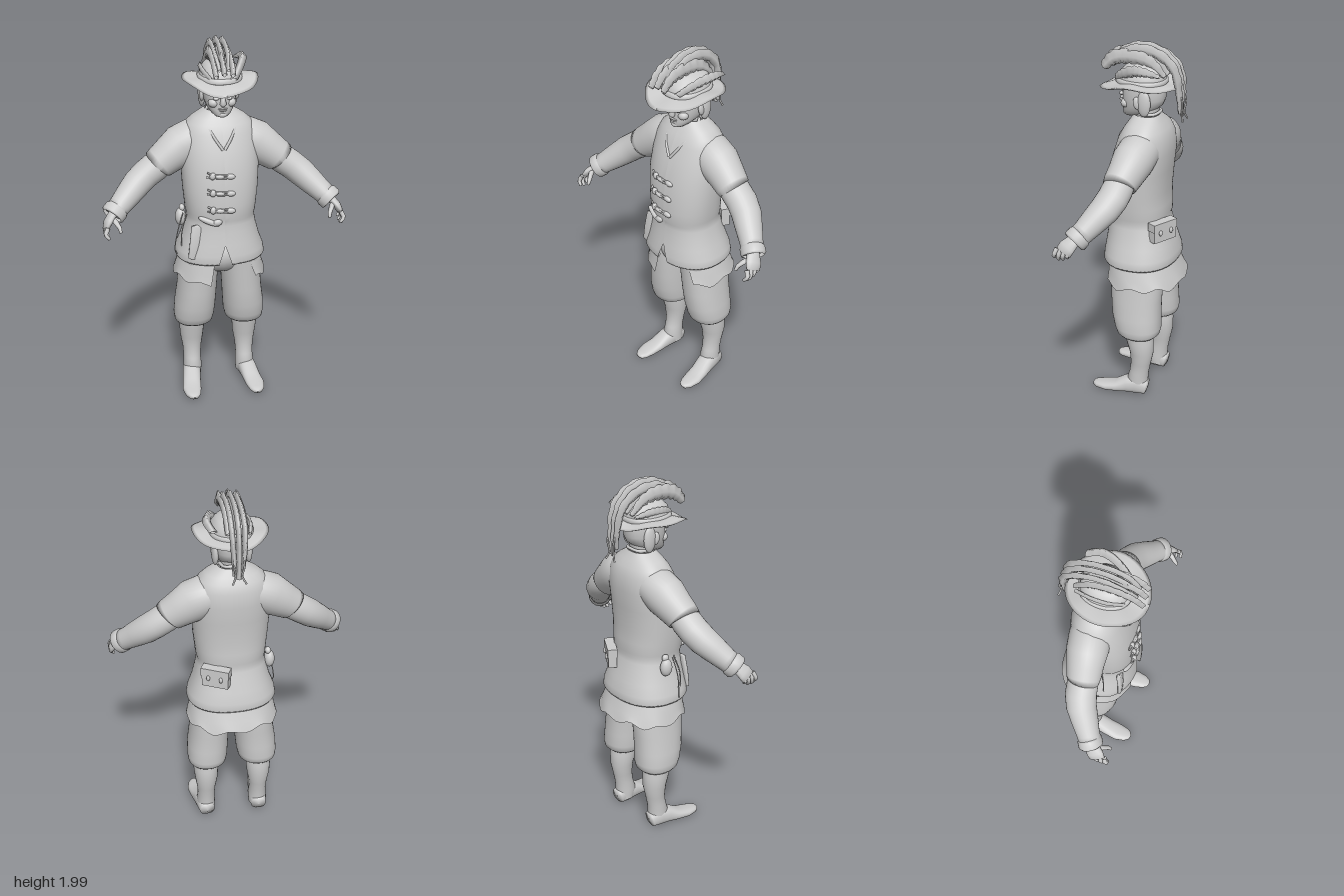
import * as THREE from 'three';

const grey = new THREE.MeshStandardMaterial({ color: 0xcccccc, side: THREE.DoubleSide });
grey.name = 'plain grey';
const V = (x, y, z) => new THREE.Vector3(x, y, z);

function add(parent, name, geometry, pos = [0, 0, 0], rot = [0, 0, 0], scale = [1, 1, 1]) {
  const m = new THREE.Mesh(geometry, grey);
  m.name = name;
  m.position.set(...pos);
  m.rotation.set(...rot);
  m.scale.set(...scale);
  parent.add(m);
  return m;
}

// Skin over rows of points
function skin(rows, closed) {
  const n = rows[0].length, index = [];
  for (let j = 0; j < rows.length - 1; j++) {
    for (let i = 0; i < (closed ? n : n - 1); i++) {
      const a = j * n + i, b = j * n + (i + 1) % n;
      index.push(a, b, b + n, a, b + n, a + n);
    }
  }
  const g = new THREE.BufferGeometry().setFromPoints(rows.flat());
  g.setIndex(index);
  g.computeVertexNormals();
  return g;
}

const pw = (v, p) => Math.sign(v) * Math.abs(v) ** (2 / p);

// Level cross-sections [x, y, z, rx, rz, gapLeft, gapRight]; gaps open the front
function stack(rings, { n = 40, p = 2.2, open = false, wave = null } = {}) {
  return skin(rings.map(([x, y, z, rx, rz, g0 = 0, g1 = g0], j) => {
    const row = [];
    for (let i = 0; i < (open ? n + 1 : n); i++) {
      const a = g0 + (Math.PI * 2 - g0 - g1) * i / n;
      row.push(V(x + rx * pw(Math.sin(a), p), y + (wave ? wave(a, j) : 0), z + rz * pw(Math.cos(a), p)));
    }
    return row;
  }), !open);
}

// Cross-sections [x, y, z, ra, rb] set square to the path they follow
function limb(rings, n = 24, p = 2) {
  const c = rings.map(r => V(r[0], r[1], r[2]));
  return skin(rings.map(([, , , ra, rb], j) => {
    const t = c[Math.min(j + 1, c.length - 1)].clone().sub(c[Math.max(j - 1, 0)]).normalize();
    const b = Math.abs(t.z) > 0.8 ? V(0, 1, 0) : V(0, 0, 1);
    b.addScaledVector(t, -b.dot(t)).normalize();
    const side = t.clone().cross(b);
    return Array.from({ length: n }, (_, i) => {
      const a = Math.PI * 2 * i / n;
      return c[j].clone().addScaledVector(side, ra * pw(Math.sin(a), p)).addScaledVector(b, rb * pw(Math.cos(a), p));
    });
  }), true);
}

function tube(points, r, seg = 20, closed = false) {
  return new THREE.TubeGeometry(new THREE.CatmullRomCurve3(points.map(q => V(...q)), closed), seg, r, 6, closed);
}

// Curved plume: a ridged blade with ragged edges
function plume(points, width, ridge = 0.014) {
  const curve = new THREE.CatmullRomCurve3(points.map(q => V(...q))), rows = [], N = 26;
  for (let i = 0; i <= N; i++) {
    const t = i / N, c = curve.getPoint(t);
    const across = curve.getTangent(t).cross(V(1, 0, 0)).normalize();
    const w = width * Math.sin(Math.PI * (0.12 + 0.84 * t)) ** 0.6 * (i % 3 ? 1 : 0.82);
    const offset = (s, x) => c.clone().addScaledVector(across, s * w).add(V(x, 0, 0));
    rows.push([offset(-1, 0), offset(0, ridge), offset(1, 0), offset(0, -ridge)]);
  }
  return skin(rows, true);
}

const ball = new THREE.SphereGeometry(1, 20, 14);

function buildSide(side) {
  // Legs and feet
  add(side, 'breeches', stack([
    [.15, .395, -.03, .06, .07], [.145, .38, -.03, .092, .1], [.142, .395, -.028, .105, .117],
    [.14, .43, -.025, .111, .128], [.135, .5, -.015, .112, .135], [.125, .6, -.01, .108, .14],
    [.116, .72, -.01, .107, .148], [.11, .85, 0, .1, .15]]));
  add(side, 'lowerLeg', stack([
    [.15, .03, -.03, .048, .052], [.15, .09, -.025, .052, .06], [.15, .14, -.035, .048, .054],
    [.15, .2, -.045, .052, .056], [.15, .27, -.05, .064, .066], [.15, .34, -.04, .07, .076],
    [.15, .42, -.03, .068, .075]], { n: 24, p: 2 }));
  add(side, 'foot', limb([
    [.15, .045, -.086, .005, .005], [.15, .046, -.08, .042, .042], [.155, .058, -.02, .051, .056],
    [.163, .05, .03, .05, .047], [.172, .032, .09, .05, .03], [.18, .025, .15, .051, .023],
    [.18, .021, .2, .04, .018], [.178, .02, .225, .024, .014], [.178, .02, .233, .002, .002]], 24, 2.4));
  // Sleeve, arm and cuff
  add(side, 'shortSleeve', limb([
    [.06, 1.47, -.03, .08, .09], [.13, 1.45, -.028, .106, .108], [.2, 1.415, -.02, .113, .107],
    [.265, 1.37, -.01, .098, .095], [.315, 1.335, 0, .088, .088], [.328, 1.325, 0, .084, .084],
    [.32, 1.33, 0, .07, .07]], 32));
  add(side, 'longSleeve', limb([
    [.28, 1.36, 0, .072, .074], [.34, 1.315, .003, .078, .08], [.39, 1.28, .01, .076, .081],
    [.44, 1.24, .03, .075, .078], [.49, 1.195, .065, .068, .07], [.54, 1.15, .1, .059, .06],
    [.572, 1.122, .124, .057, .058], [.582, 1.114, .13, .05, .05], [.565, 1.13, .12, .035, .035]], 28));
  add(side, 'cuffFold', limb([[.552, 1.14, .108, .055, .055], [.56, 1.133, .115, .065, .064],
    [.583, 1.113, .13, .065, .064], [.588, 1.108, .134, .054, .054]], 24));
  // Hand
  add(side, 'palm', limb([[.555, 1.14, .11, .024, .03], [.585, 1.115, .135, .022, .036],
    [.61, 1.087, .16, .021, .046], [.622, 1.062, .175, .016, .045], [.625, 1.052, .18, .002, .004]], 16));
  for (let i = 0; i < 4; i++) {
    const z = .142 + i * .024, drop = [.016, .004, 0, .008][i];
    add(side, 'finger', limb([[.615, 1.075, z, .012, .012], [.629, 1.048, z + .008, .012, .012],
      [.626, 1.028 + drop, z + .014, .01, .01], [.612, 1.012 + drop, z + .017, .008, .008],
      [.608, 1.009 + drop, z + .017, .001, .001]], 10));
  }
  add(side, 'thumb', limb([[.59, 1.105, .155, .014, .014], [.57, 1.09, .19, .014, .014],
    [.556, 1.07, .215, .011, .011], [.552, 1.05, .228, .008, .008], [.552, 1.047, .229, .001, .001]], 10));
  // Face details that come in pairs
  add(side, 'eye', ball, [.034, 1.698, .103], [0, 0, 0], [.015, .009, .012]);
  add(side, 'brow', ball, [.035, 1.717, .107], [0, .3, .1], [.03, .009, .013]);
  add(side, 'cheek', ball, [.045, 1.67, .082], [0, .4, 0], [.028, .024, .026]);
  add(side, 'ear', ball, [.091, 1.69, .0], [.2, .25, 0], [.012, .034, .021]);
  add(side, 'sideHair', ball, [.086, 1.69, -.035], [0, 0, 0], [.019, .07, .036]);
}

export function createModel() {
  const model = new THREE.Group();
  model.name = 'hatted figure';
  const left = new THREE.Group(), right = new THREE.Group();
  left.name = 'leftSide';
  right.name = 'rightSide';
  buildSide(left);
  buildSide(right);
  right.scale.x = -1;
  model.add(left, right);

  // Coat with a split front hem, and a ragged underskirt
  add(model, 'coat', stack([
    [0, .82, 0, .215, .178, .12], [0, .8, 0, .236, .194, .11], [0, .812, 0, .243, .2, .1],
    [0, .85, .001, .236, .197, .06], [0, .91, .005, .213, .184], [0, .98, .011, .194, .168],
    [0, 1.02, .015, .186, .162], [0, 1.045, .018, .181, .158], [0, 1.07, .019, .187, .165],
    [0, 1.13, .02, .193, .165], [0, 1.2, .02, .2, .161], [0, 1.32, .01, .206, .16],
    [0, 1.42, -.01, .205, .15], [0, 1.5, -.02, .194, .134], [0, 1.545, -.022, .172, .112],
    [0, 1.575, -.022, .138, .092], [0, 1.598, -.022, .1, .077], [0, 1.615, -.022, .074, .066]],
    { open: true, n: 56, p: 2.3 }));
  add(model, 'underskirt', stack([
    [0, .87, 0, .2, .165, .6, .2], [0, .8, -.005, .22, .182, .65, .22],
    [0, .74, -.015, .236, .198, .7, .24], [0, .69, -.02, .25, .212, .75, .27]],
    { open: true, n: 48, wave: (a, j) => j === 3 ? .012 * Math.sin(a * 9) + .008 * Math.sin(a * 4) : 0 }));
  add(model, 'hips', ball, [0, .82, 0], [0, 0, 0], [.19, .13, .15]);

  // Neckline
  for (const s of [-1, 1]) {
    add(model, 'collarBand', tube([[s * .06, 1.62, -.02], [s * .085, 1.58, .035], [s * .05, 1.5, .107],
      [s * .004, 1.43, .138]], .008));
  }
  add(model, 'backCollar', tube([[-.062, 1.62, -.02], [-.045, 1.625, -.075], [0, 1.63, -.09],
    [.045, 1.625, -.075], [.062, 1.62, -.02]], .009));

  // Toggle fastenings
  [[1.3, .172], [1.21, .183], [1.115, .187]].forEach(([y, z]) => {
    const toggle = new THREE.Group();
    toggle.name = 'toggleFastening';
    toggle.position.set(-.02, y, z);
    toggle.rotation.z = -.08;
    add(toggle, 'peg', ball, [.048, 0, 0], [0, 0, 0], [.026, .015, .012]);
    add(toggle, 'peg', ball, [-.008, 0, .004], [0, 0, 0], [.026, .012, .012]);
    add(toggle, 'knot', ball, [-.045, 0, 0], [0, 0, 0], [.016, .02, .014]);
    add(toggle, 'upperLoop', tube([[-.075, .018, -.006], [-.045, .008, .003], [0, .008, .006], [.05, .008, .002]], .005));
    add(toggle, 'lowerLoop', tube([[-.075, -.008, -.006], [-.045, -.008, .003], [0, -.008, .006], [.05, -.008, .002]], .005));
    model.add(toggle);
  });

  // Belt knot, sheath, pouches
  add(model, 'sashFold', ball, [-.085, 1.05, .168], [0, -.2, -.4], [.06, .016, .016]);
  add(model, 'beltKnot', ball, [-.04, 1.045, .178], [0, 0, .2], [.025, .018, .014]);
  add(model, 'sheath', limb([[-.17, .83, .15, .004, .003], [-.17, .835, .15, .024, .01],
    [-.158, .92, .147, .026, .012], [-.143, 1.01, .135, .03, .013], [-.142, 1.02, .134, .004, .003]], 14, 3));
  add(model, 'sidePouch', ball, [-.208, 1.01, -.02], [0, 0, 0], [.029, .05, .034]);
  add(model, 'pouchNeck', ball, [-.2, 1.062, -.02], [0, 0, 0], [.016, .02, .02]);
  add(model, 'hangingCord', tube([[-.2, 1.05, .03], [-.232, .95, .04], [-.245, .83, .04], [-.222, .82, .06],
    [-.215, .95, .07], [-.185, 1.05, .05]], .003, 30));
  const pouch = new THREE.Group();
  pouch.name = 'backPouch';
  pouch.position.set(.105, 1.01, -.15);
  pouch.rotation.y = Math.PI - .5;
  add(pouch, 'pouchBody', new THREE.BoxGeometry(.145, .1, .045));
  add(pouch, 'pouchFlap', new THREE.BoxGeometry(.155, .045, .052), [0, .035, 0]);
  for (const s of [-1, 1]) add(pouch, 'pouchButton', ball, [s * .035, .004, .028], [0, 0, 0], [.01, .016, .008]);
  model.add(pouch);

  // Head
  add(model, 'neck', stack([[0, 1.54, -.02, .058, .055], [0, 1.62, -.02, .055, .06], [0, 1.69, -.02, .06, .07]], { n: 24 }));
  add(model, 'head', stack([
    [0, 1.595, .07, .004, .004], [0, 1.597, .07, .03, .03], [0, 1.612, .05, .05, .06],
    [0, 1.635, .022, .068, .087], [0, 1.665, .005, .08, .106], [0, 1.7, -.003, .088, .114],
    [0, 1.75, -.005, .09, .115], [0, 1.8, -.005, .085, .108]], { n: 32 }));
  add(model, 'nose', limb([[0, 1.718, .1, .01, .01], [0, 1.695, .112, .012, .014],
    [0, 1.672, .117, .018, .018], [0, 1.66, .11, .01, .01]], 12));
  add(model, 'upperLip', ball, [0, 1.643, .107], [0, 0, 0], [.026, .005, .009]);
  add(model, 'lowerLip', ball, [0, 1.633, .104], [0, 0, 0], [.022, .006, .009]);
  add(model, 'chin', ball, [0, 1.61, .093], [0, 0, 0], [.026, .017, .02]);

  // Hat: brim bent down at the front, domed crown, band
  const brim = new THREE.LatheGeometry([[.08, .014], [.13, .012], [.18, .006], [.196, 0], [.18, -.007],
    [.13, -.006], [.08, -.006]].map(q => new THREE.Vector2(...q)).reverse(), 48);
  const pos = brim.attributes.position;
  for (let i = 0; i < pos.count; i++) {
    const x = pos.getX(i), z = pos.getZ(i), r = Math.hypot(x, z) / .196, c = z / .196;
    pos.setZ(i, z * 1.07 + .02);
    pos.setY(i, pos.getY(i) + 1.775 - (c > 0 ? .035 : .012) * c * c + .018 * (x / .196) ** 2
      + .005 * r * Math.sin(5 * Math.atan2(x, z)));
  }
  brim.computeVertexNormals();
  add(model, 'hatBrim', brim);
  add(model, 'hatCrown', stack([[0, 1.76, .01, .108, .128], [0, 1.8, .008, .106, .126], [0, 1.835, .005, .096, .118],
    [0, 1.862, 0, .072, .095], [0, 1.877, 0, .04, .055], [0, 1.88, 0, .002, .002]]));
  add(model, 'hatBand', stack([[0, 1.78, .01, .112, .132], [0, 1.785, .01, .116, .136], [0, 1.802, .008, .114, .134],
    [0, 1.806, .008, .104, .124]]));

  // Plumes sweeping over the crown and down behind
  [-.04, -.008, .026].forEach((x, i) => {
    const d = [-.012, 0, -.006][i];
    add(model, 'longPlume', plume([[x * .7, 1.86, .17], [x, 1.93 + d, .11], [x, 1.962 + d, .01], [x, 1.94 + d, -.1],
      [x, 1.865, -.175], [x * .8, 1.75, -.2], [x * .5, 1.62 - d * 3, -.208 - d]], .03));
    add(model, 'frontPlume', plume([[x * 1.3, 1.85 + d, .21], [x * 1.4, 1.905 + d, .15], [x * 1.4, 1.915, .05],
      [x * 1.4, 1.895, -.05], [x * 1.4, 1.83, -.13]], .042));
  });
  add(model, 'leftPlume', plume([[.05, 1.8, .13], [.085, 1.835, .08], [.12, 1.868, .0], [.13, 1.87, -.06],
    [.11, 1.85, -.13]], .03, .022));
  add(model, 'rightPlume', plume([[-.06, 1.8, .12], [-.09, 1.825, .05], [-.095, 1.835, -.03], [-.075, 1.82, -.12]], .025, .01));
  for (const x of [-.02, .015]) {
    add(model, 'plumeWisp', tube([[x, 1.8, -.19], [x * 1.5, 1.7, -.22], [x, 1.64, -.215], [x * 2, 1.6, -.225]], .005));
  }
  return model;
}
